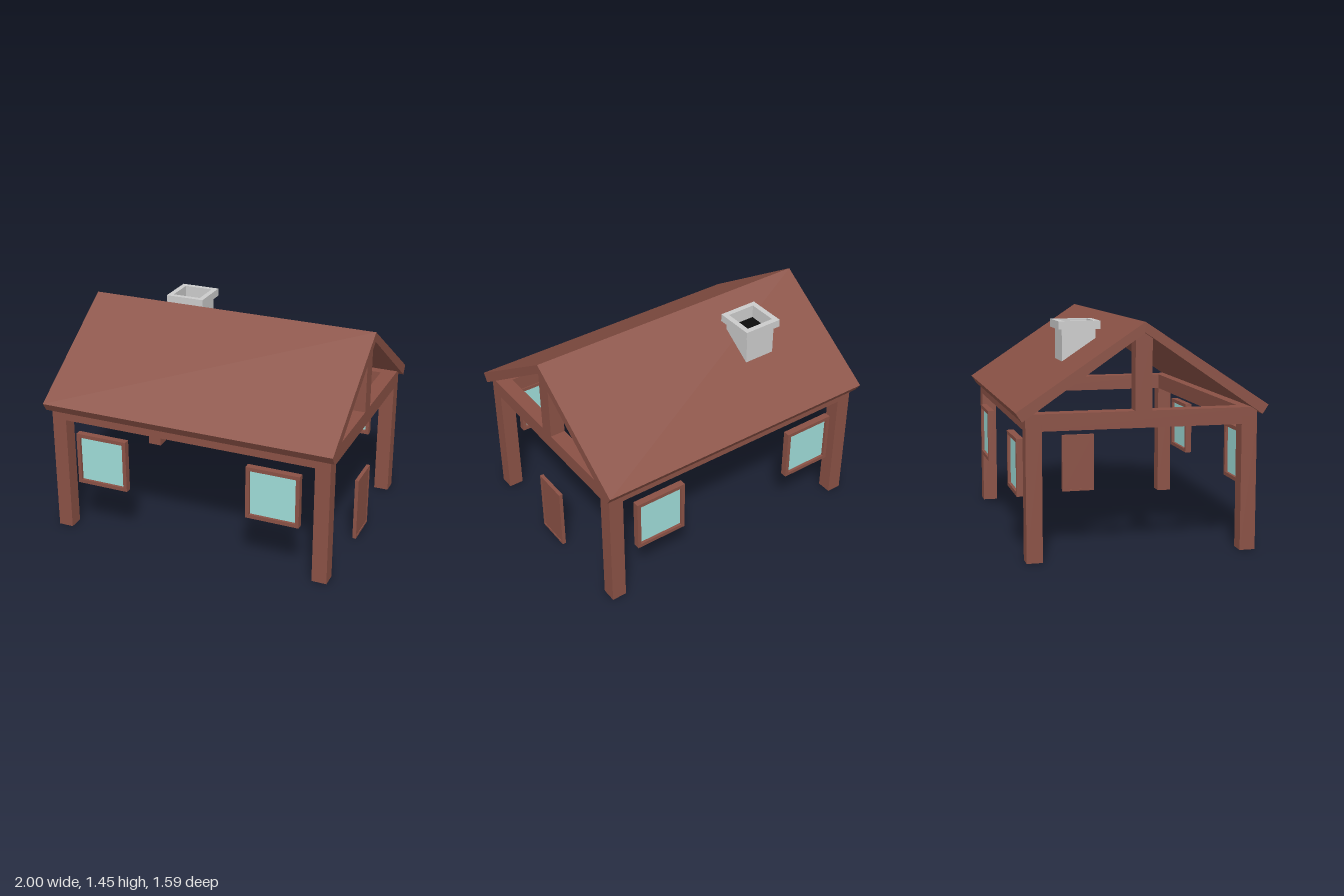
import * as THREE from 'three';

const wood = new THREE.MeshStandardMaterial({ color: 0x8a5145 });
const glass = new THREE.MeshStandardMaterial({ color: 0x9fdcd8 });
const stone = new THREE.MeshStandardMaterial({ color: 0xcccccc });
const soot = new THREE.MeshStandardMaterial({ color: 0x0c0c0c });

function add(parent, name, geometry, material, x = 0, y = 0, z = 0) {
  const mesh = new THREE.Mesh(geometry, material);
  mesh.name = name;
  mesh.position.set(x, y, z);
  parent.add(mesh);
  return mesh;
}

const box = (w, h, d) => new THREE.BoxGeometry(w, h, d);

// Rectangular ring in the xy plane, centred on the origin
function ring(w, h, innerW, innerH, depth) {
  const rect = (Path, a, b) => new Path([
    [-a / 2, -b / 2], [a / 2, -b / 2], [a / 2, b / 2], [-a / 2, b / 2],
  ].map(([x, y]) => new THREE.Vector2(x, y)));
  const shape = rect(THREE.Shape, w, h);
  shape.holes.push(rect(THREE.Path, innerW, innerH));
  return new THREE.ExtrudeGeometry(shape, { depth, bevelEnabled: false }).translate(0, 0, -depth / 2);
}

// Surround with a thinner pane set into it, facing z
function framedPanel(name, w, h, border, depth, paneDepth, paneMaterial) {
  const group = new THREE.Group();
  group.name = name;
  const iw = w - 2 * border, ih = h - 2 * border;
  add(group, name + 'Frame', ring(w, h, iw, ih, depth), wood);
  add(group, name + 'Pane', box(iw, ih, paneDepth), paneMaterial);
  return group;
}

export function createModel() {
  const house = new THREE.Group();
  house.name = 'house';

  // Corner posts and gable king posts
  for (const sx of [-1, 1]) {
    for (const sz of [-1, 1]) add(house, 'cornerPost', box(0.1, 0.85, 0.1), wood, sx * 0.92, 0.425, sz * 0.68);
    add(house, 'kingPost', box(0.1, 0.52, 0.106), wood, sx * 0.92, 1.14, 0);
    add(house, 'gableBeam', box(0.1, 0.105, 1.46), wood, sx * 0.92, 0.857, 0);
  }

  // Eave beams and windows on the long sides
  for (const sz of [-1, 1]) {
    add(house, 'eaveBeam', box(1.74, 0.105, 0.1), wood, 0, 0.857, sz * 0.68);
    for (const sx of [-1, 1]) {
      const frame = framedPanel('window', 0.36, 0.36, 0.025, 0.045, 0.008, glass);
      frame.position.set(sx * 0.602, 0.555, sz * 0.732);
      house.add(frame);
    }
  }

  // Door in the right-hand gable
  const door = framedPanel('door', 0.25, 0.44, 0.015, 0.025, 0.017, wood);
  door.rotation.y = Math.PI / 2;
  door.position.set(0.963, 0.23, 0.014);
  house.add(door);

  // Roof: one folded slab running along x
  const section = new THREE.Shape([
    [0, 1.45], [-0.793, 0.925], [-0.755, 0.868], [0, 1.385], [0.755, 0.868], [0.793, 0.925],
  ].map(([z, y]) => new THREE.Vector2(z, y)));
  const roof = new THREE.ExtrudeGeometry(section, { depth: 2, bevelEnabled: false });
  roof.translate(0, 0, -1).rotateY(Math.PI / 2);
  add(house, 'roof', roof, wood);

  // Chimney: hollow shaft, wider cap and dark flue
  const chimney = new THREE.Group();
  chimney.name = 'chimney';
  chimney.position.set(-0.42, 0, -0.306);
  add(chimney, 'chimneyShaft', ring(0.218, 0.218, 0.198, 0.198, 0.21).rotateX(-Math.PI / 2), stone, 0, 1.275, 0);
  // Lower shaft walls follow the roof slope so nothing hangs below it
  const shaft = chimney.children[0].geometry.attributes.position;
  for (let i = 0; i < shaft.count; i++) {
    if (shaft.getY(i) < 0) shaft.setY(i, 0.662 * (shaft.getZ(i) - 0.306) + 1.42 - 1.275);
  }
  chimney.children[0].geometry.computeVertexNormals();
  add(chimney, 'chimneyCap', ring(0.27, 0.27, 0.198, 0.198, 0.052).rotateX(-Math.PI / 2), stone, 0, 1.404, 0);
  add(chimney, 'flue', box(0.198, 0.01, 0.198), soot, 0, 1.335, 0);
  house.add(chimney);

  return house;
}
